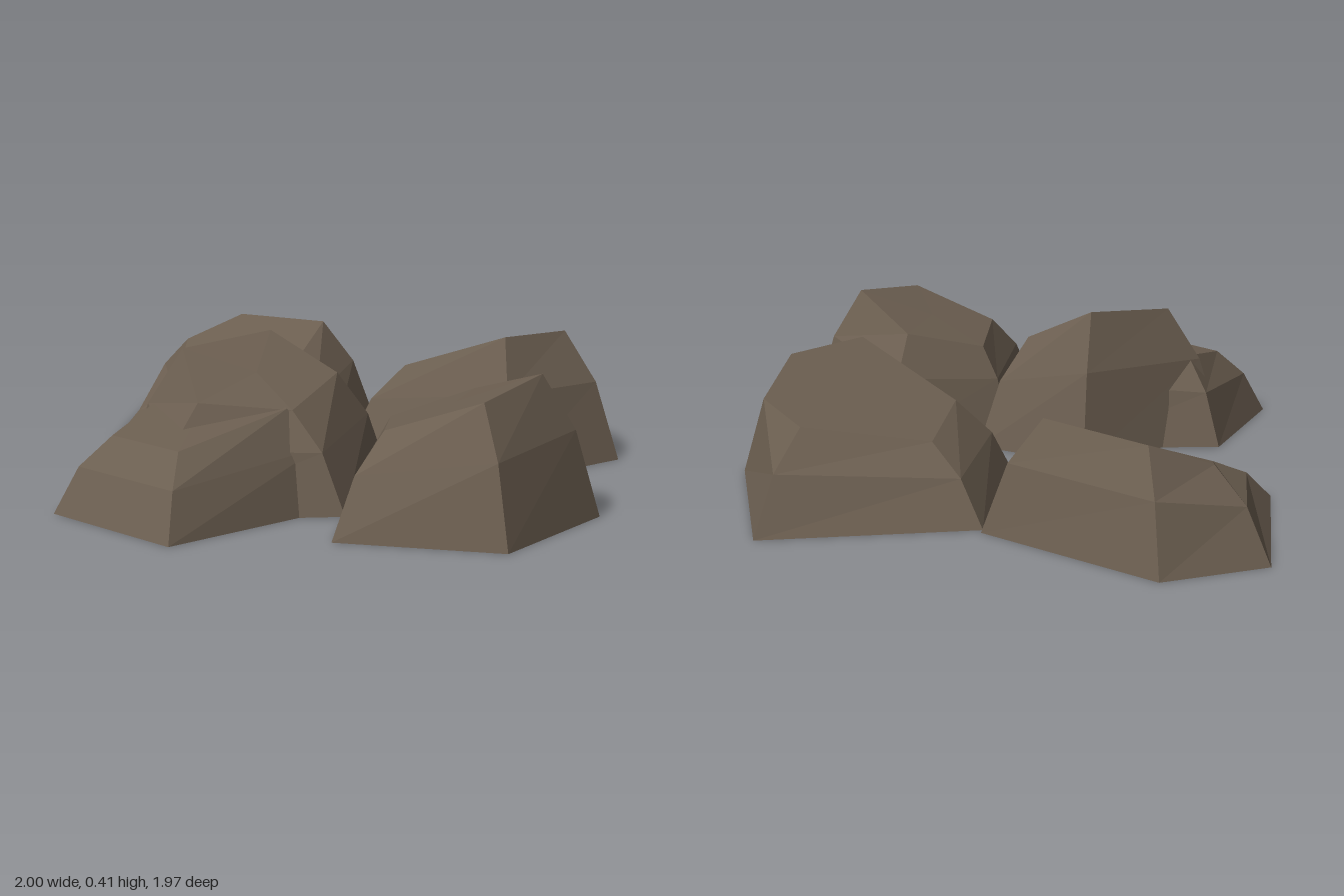
import * as THREE from 'three';

// Each rock: base corners [x, z] and tilted top corners [x, y, z], clockwise from above
const ROCKS = [
  { name: 'leftRock',
    base: [[-1, -0.3], [-0.85, -0.57], [-0.26, -0.56], [-0.12, -0.18], [-0.67, 0.19]],
    top: [[-0.82, 0.235, -0.3], [-0.73, 0.305, -0.46], [-0.39, 0.315, -0.46], [-0.31, 0.225, -0.23], [-0.62, 0.14, -0.02]] },
  { name: 'backRock',
    base: [[0.155, -0.985], [0.63, -0.57], [0.55, -0.135], [-0.055, -0.16], [-0.25, -0.54]],
    top: [[0.185, 0.255, -0.775], [0.46, 0.365, -0.535], [0.425, 0.373, -0.285], [0.06, 0.25, -0.295], [-0.05, 0.2, -0.515]] },
  { name: 'rightRock',
    base: [[0.49, -0.11], [0.96, 0.04], [0.995, 0.5], [0.595, 0.69], [0.34, 0.26]],
    top: [[0.57, 0.295, 0.06], [0.845, 0.378, 0.145], [0.86, 0.345, 0.42], [0.61, 0.255, 0.5], [0.45, 0.235, 0.27]] },
  { name: 'centreRock',
    base: [[-0.08, 0.1], [0.27, 0.04], [0.455, 0.465], [0.1, 0.82], [-0.22, 0.6]],
    top: [[0, 0.415, 0.235], [0.21, 0.315, 0.2], [0.28, 0.26, 0.47], [0.11, 0.285, 0.65], [-0.08, 0.39, 0.505]] },
  { name: 'frontRock',
    base: [[0.05, 0.2], [0.39, 0.4], [0.315, 0.98], [-0.15, 0.925], [-0.285, 0.49]],
    top: [[0.05, 0.3, 0.35], [0.27, 0.265, 0.48], [0.21, 0.2, 0.83], [-0.06, 0.2, 0.795], [-0.14, 0.25, 0.53]] },
];

// Shoulder ring: how far in and how far up it sits between base and top
const SHOULDER_IN = 0.43;
const SHOULDER_UP = 0.61;

function rockGeometry(base, top) {
  const low = base.map(([x, z]) => new THREE.Vector3(x, 0, z));
  const high = top.map((p) => new THREE.Vector3(...p));
  const mid = low.map((p, i) => {
    const m = p.clone().lerp(high[i], SHOULDER_IN);
    m.y = high[i].y * SHOULDER_UP;
    return m;
  });
  const centre = (ring) => ring.reduce((s, p) => s.add(p), new THREE.Vector3()).divideScalar(ring.length);
  const points = [];
  const n = low.length;
  const highCentre = centre(high);
  const lowCentre = centre(low);
  for (let i = 0; i < n; i++) {
    const j = (i + 1) % n;
    // two bands of side facets
    for (const [a, b] of [[low, mid], [mid, high]]) {
      points.push(a[i], b[i], a[j], a[j], b[i], b[j]);
    }
    // top and underside
    points.push(highCentre, high[j], high[i]);
    points.push(lowCentre, low[i], low[j]);
  }
  const geometry = new THREE.BufferGeometry().setFromPoints(points);
  geometry.computeVertexNormals();
  return geometry;
}

export function createModel() {
  const group = new THREE.Group();
  group.name = 'rockCluster';
  const stone = new THREE.MeshStandardMaterial({ color: 0x6b5e50 });
  stone.name = 'brownStone';
  for (const { name, base, top } of ROCKS) {
    const rock = new THREE.Mesh(rockGeometry(base, top), stone);
    rock.name = name;
    group.add(rock);
  }
  return group;
}
